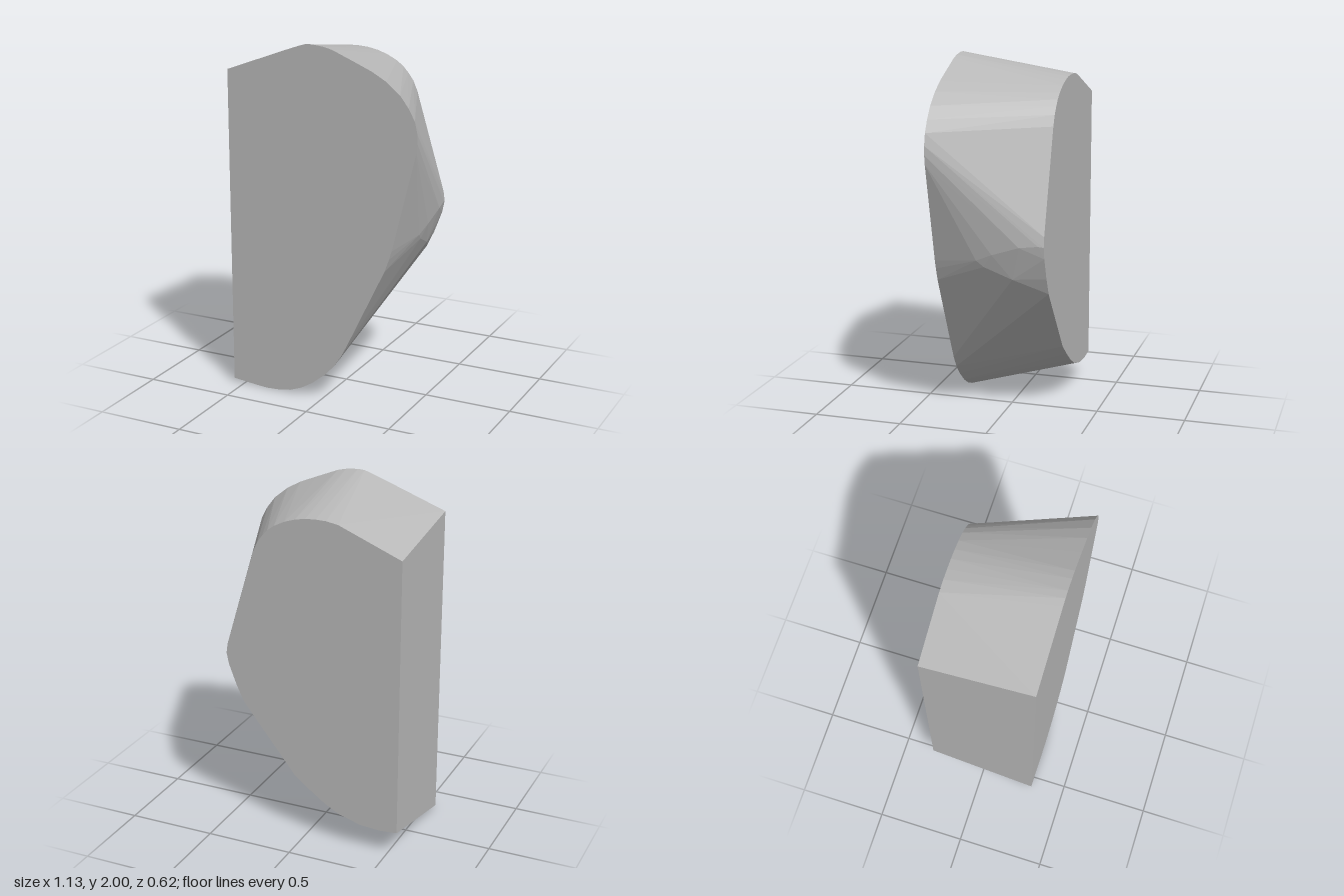
import * as THREE from 'three';
import { ConvexGeometry } from 'three/addons/geometries/ConvexGeometry.js';

// Outline of the larger front face, clockwise from the upper flat-side corner
const FRONT = [
  [-0.565, 1.825], [-0.2, 1.96], [-0.13, 1.985], [-0.09, 1.997], [-0.05, 2], [0.02, 1.992], [0.07, 1.98],
  [0.2, 1.927], [0.3, 1.885], [0.38, 1.84], [0.46, 1.775], [0.51, 1.71], [0.545, 1.645],
  [0.56, 1.58], [0.561, 1.53], [0.555, 1.48], [0.42, 0.93], [0.405, 0.88], [0.38, 0.81],
  [0.165, 0.365], [0.125, 0.285], [0.08, 0.215], [0.02, 0.15], [-0.06, 0.085],
  [-0.13, 0.043], [-0.2, 0.016], [-0.27, 0.004], [-0.35, 0], [-0.42, 0.005], [-0.565, 0.02],
];

// Outline of the smaller back face
const BACK = [
  [-0.565, 1.737], [-0.207, 1.882], [-0.14, 1.893], [-0.08, 1.894], [-0.02, 1.89], [0.04, 1.878],
  [0.1, 1.858], [0.16, 1.828], [0.2, 1.798], [0.23, 1.765], [0.26, 1.725], [0.286, 1.667],
  [0.455, 1.11], [0.463, 1.055], [0.45, 0.99], [0.405, 0.87], [0.36, 0.775], [0.054, 0.385],
  [-0.04, 0.31], [-0.13, 0.245], [-0.222, 0.195], [-0.349, 0.158], [-0.468, 0.15], [-0.565, 0.158],
];

// Rounded bulge between the two faces on the curved side
const BULGE = [
  [0.47, 1.06, -0.28], [0.486, 1.05, -0.18], [0.484, 1.0, -0.03],
  [0.471, 0.96, 0.06], [0.461, 0.925, 0.02], [0.435, 0.86, -0.13],
];

const DEPTH = 0.31;

export function createModel() {
  const group = new THREE.Group();
  group.name = 'facetedBlock';

  const stone = new THREE.MeshStandardMaterial({ color: 0xb8b8b8 });
  stone.name = 'plain grey';

  const points = [
    ...FRONT.map(([x, y]) => new THREE.Vector3(x, y, DEPTH)),
    ...BACK.map(([x, y]) => new THREE.Vector3(x, y, -DEPTH)),
    ...BULGE.map((p) => new THREE.Vector3(...p)),
  ];

  const body = new THREE.Mesh(new ConvexGeometry(points), stone);
  body.name = 'body';
  group.add(body);
  return group;
}
